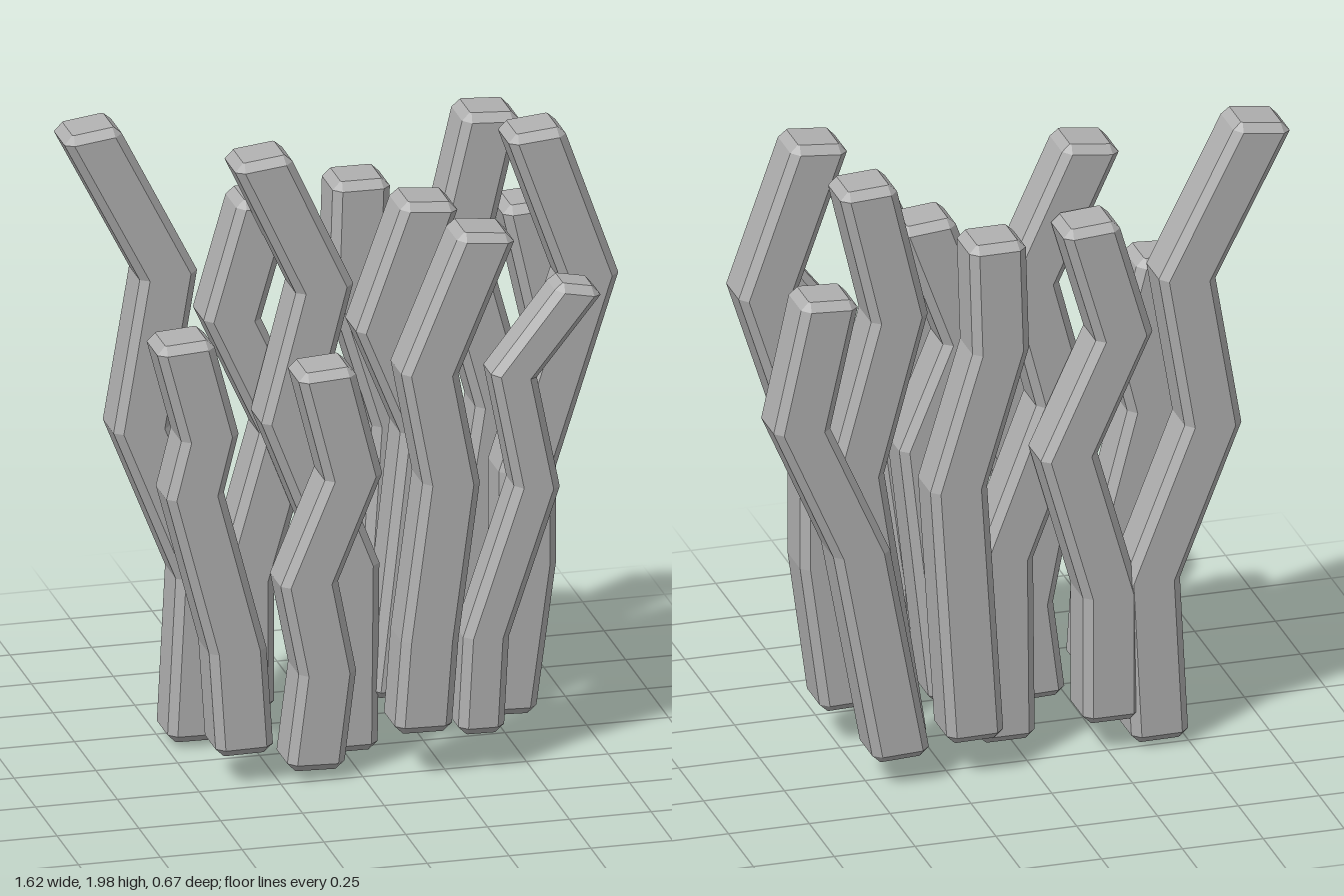
import * as THREE from 'three';

const BEVEL = 0.025;

// Chamfered-square outline in x/z
function outline(size, chamfer) {
  const h = size / 2, k = h - chamfer;
  return [[h, -k], [h, k], [k, h], [-k, h], [-h, k], [-h, -k], [-k, -h], [k, -h]];
}

// End sections lean partly towards square with the path
function endTilt(a, b) {
  return -0.27 * (b[0] - a[0]) / (b[1] - a[1]);
}

// Kinked stalk: near-level sections along a path from bottom to top, with bevelled ends
function stalkGeometry(path, z, size) {
  const last = path.length - 1;
  const tiltBottom = endTilt(path[0], path[1]);
  const tiltTop = endTilt(path[last - 1], path[last]);
  const full = outline(size, BEVEL), small = outline(size - BEVEL * 2, 0.004);
  const ring = ([x, y], shape, tilt, lift = 0) =>
    shape.map(([dx, dz]) => [x + dx, y + lift + tilt * dx, z + dz]);

  const rings = [ring(path[0], small, tiltBottom)];
  path.forEach((p, i) => {
    const lift = i === 0 ? BEVEL : i === last ? -BEVEL : 0;
    rings.push(ring(p, full, THREE.MathUtils.lerp(tiltBottom, tiltTop, i / last), lift));
  });
  rings.push(ring(path[last], small, tiltTop));

  const pos = [];
  const tri = (a, b, c) => pos.push(...a, ...b, ...c);
  for (let r = 0; r < rings.length - 1; r++) {
    for (let j = 0; j < 8; j++) {
      const k = (j + 1) % 8, lo = rings[r], hi = rings[r + 1];
      tri(lo[j], hi[j], lo[k]);
      tri(hi[j], hi[k], lo[k]);
    }
  }
  // End caps
  const bottom = rings[0], top = rings[rings.length - 1];
  for (let j = 1; j < 7; j++) {
    tri(bottom[0], bottom[j], bottom[j + 1]);
    tri(top[0], top[j + 1], top[j]);
  }
  const geo = new THREE.BufferGeometry();
  geo.setAttribute('position', new THREE.Float32BufferAttribute(pos, 3));
  geo.computeVertexNormals();
  return geo;
}

export function createModel() {
  const group = new THREE.Group();
  group.name = 'stalkCluster';
  const grey = new THREE.MeshStandardMaterial({ color: 0xb0b0b0 });
  grey.name = 'stone grey';

  const addStalk = (name, z, path, size = 0.175) => {
    const mesh = new THREE.Mesh(stalkGeometry(path, z, size), grey);
    mesh.name = name;
    group.add(mesh);
  };

  // Back layers
  addStalk('backMiddleStalk', -0.25, [[0.18, 0.13], [0.23, 0.95], [0.1, 1.38], [0.11, 1.73]]);
  addStalk('backRightStalk', -0.25, [[0.41, 0.1], [0.53, 0.78], [0.715, 1.2], [0.63, 1.61]]);
  addStalk('tallLeftStalk', -0.19, [[-0.41, 0.03], [-0.385, 0.55], [-0.575, 1.03], [-0.495, 1.51], [-0.725, 1.985]]);
  addStalk('backLeftStalk', -0.19, [[-0.26, 0.11], [-0.26, 0.52], [-0.13, 0.98], [-0.3, 1.35], [-0.2, 1.72]]);
  addStalk('tallRightStalk', -0.19, [[0.4, 0.13], [0.53, 1], [0.395, 1.5], [0.49, 1.93]]);

  // Middle layers
  addStalk('tallMiddleStalk', -0.03, [[0.015, 0.015], [0.02, 0.6], [-0.165, 1.08], [-0.06, 1.485], [-0.245, 1.91]]);
  addStalk('innerStalk', -0.035, [[0.17, 0.17], [0.26, 1], [0.125, 1.33], [0.26, 1.725]]);
  addStalk('outerRightStalk', 0.085, [[0.47, 0.13], [0.53, 0.6], [0.53, 0.9], [0.72, 1.49], [0.56, 1.965]]);

  // Front layers
  addStalk('frontLeftStalk', 0.16, [[-0.355, 0.11], [-0.375, 0.44], [-0.505, 0.94], [-0.46, 1.12], [-0.533, 1.425]]);
  addStalk('frontMiddleStalk', 0.175, [[-0.14, 0.045], [-0.105, 0.35], [-0.16, 0.635], [-0.025, 0.96], [-0.105, 1.305]]);
  addStalk('frontCentreStalk', 0.245, [[0.17, 0.16], [0.19, 0.45], [0.255, 0.94], [0.19, 1.29], [0.36, 1.72]]);
  addStalk('frontRightStalk', 0.25, [[0.35, 0.135], [0.365, 0.44], [0.52, 0.9], [0.45, 1.255], [0.645, 1.525]], 0.14);

  return group;
}
